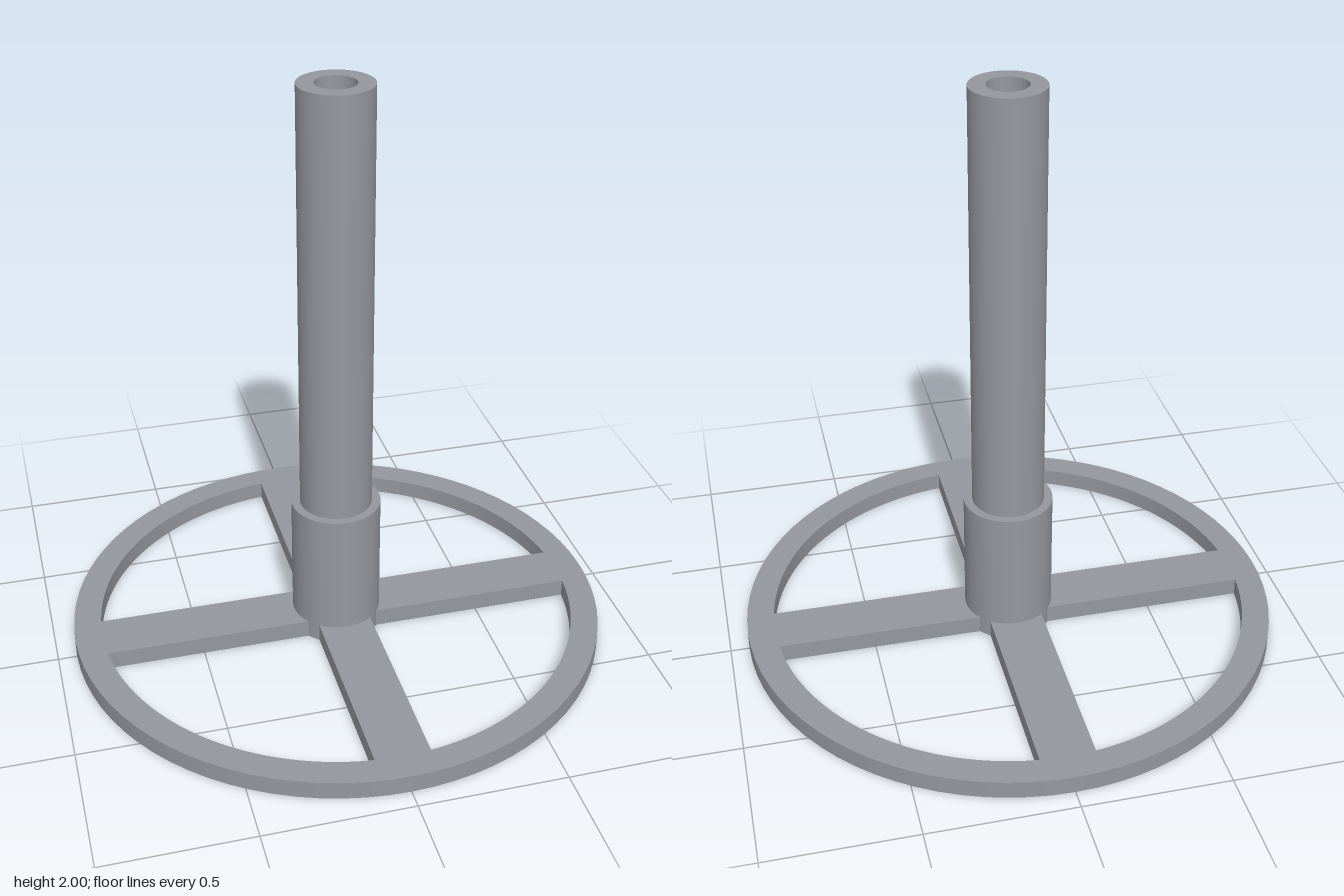
import * as THREE from 'three';
import { toCreasedNormals } from 'three/addons/utils/BufferGeometryUtils.js';

const BASE_H = 0.063, RIM_R = 0.935, RIM_INNER = 0.84;
const SPOKE_HALF = 0.093, HUB_R = 0.155, HUB_TOP = 0.5;
const TUBE_R = 0.125, BORE_R = 0.068, TOP = 2;

// Surface of revolution with crisp profile edges
function turned(points) {
  const profile = points.map(([r, y]) => new THREE.Vector2(r, y));
  return toCreasedNormals(new THREE.LatheGeometry(profile, 64), 0.5);
}

// Round base: a disc with four windows, leaving rim, spokes and hub boss
function baseGeometry() {
  const shape = new THREE.Shape().absarc(0, 0, RIM_R, 0, Math.PI * 2, false);
  const outer = Math.asin(SPOKE_HALF / RIM_INNER);
  const inner = Math.asin(SPOKE_HALF / HUB_R);
  for (let i = 0; i < 4; i++) {
    const start = i * Math.PI / 2, end = start + Math.PI / 2;
    const window = new THREE.Path();
    window.absarc(0, 0, RIM_INNER, start + outer, end - outer, false);
    window.absarc(0, 0, HUB_R, end - inner, start + inner, true);
    window.closePath();
    shape.holes.push(window);
  }
  const geometry = new THREE.ExtrudeGeometry(shape, {
    depth: BASE_H, bevelEnabled: false, curveSegments: 40,
  });
  geometry.rotateX(-Math.PI / 2);
  return toCreasedNormals(geometry, 0.5);
}

export function createModel() {
  const model = new THREE.Group();
  model.name = 'columnStand';
  // Cool steel grey
  const material = new THREE.MeshStandardMaterial({ color: 0x94979e });
  const add = (name, geometry) => {
    const mesh = new THREE.Mesh(geometry, material);
    mesh.name = name;
    model.add(mesh);
  };

  add('spokedBase', baseGeometry());

  // Thick collar around the foot of the tube
  add('collar', turned([[HUB_R, BASE_H], [HUB_R, HUB_TOP], [TUBE_R, HUB_TOP]]));

  // Hollow tube, its bore ending on the base
  add('tube', turned([
    [TUBE_R, HUB_TOP], [TUBE_R, TOP], [BORE_R, TOP], [BORE_R, BASE_H],
  ]));

  return model;
}
